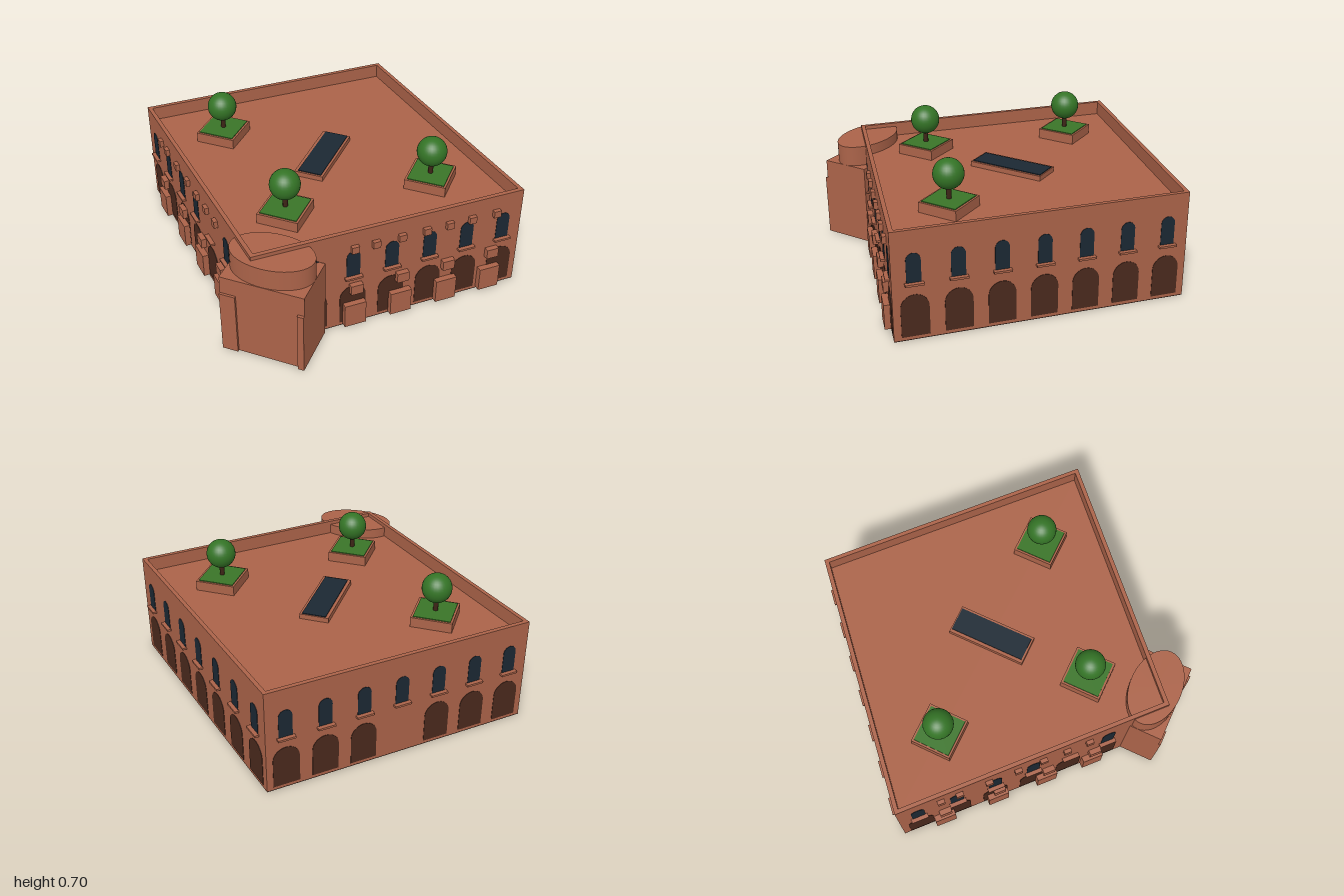
import * as THREE from 'three';

const mat = (name, color) => {
  const m = new THREE.MeshStandardMaterial({ color });
  m.name = name;
  return m;
};

export function createModel() {
  const brick = mat('terracotta', 0xab6349);
  const archDark = mat('dark arch brown', 0x4a291d);
  const glass = mat('dark blue glass', 0x1b2833);
  const grass = mat('planter green', 0x3a7528);
  const leaf = mat('foliage green', 0x347426);
  const bark = mat('bark brown', 0x3d2416);

  const model = new THREE.Group();
  model.name = 'courtyardBuilding';

  const add = (parent, name, geo, material, x = 0, y = 0, z = 0) => {
    const m = new THREE.Mesh(geo, material);
    m.name = name;
    m.position.set(x, y, z);
    parent.add(m);
    return m;
  };
  const box = (parent, name, material, w, h, d, x, y, z) =>
    add(parent, name, new THREE.BoxGeometry(w, h, d), material, x, y, z);

  // Diamond plan as [x, z]
  const left = [-0.995, -0.04], front = [0.02, 0.89], right = [0.995, -0.01], back = [-0.02, -0.94];
  const plan = [left, front, right, back];
  const baseY = 0.004, roofY = 0.46, topY = 0.53;
  const outline = (s) => plan.map(([x, z]) => new THREE.Vector2(x * s, -((z + 0.025) * s - 0.025)));
  const raise = (shape, depth) =>
    new THREE.ExtrudeGeometry(shape, { depth, bevelEnabled: false }).rotateX(-Math.PI / 2);

  // Dark floor slab, main block and parapet
  add(model, 'floorSlab', raise(new THREE.Shape(outline(1)), baseY), archDark);
  add(model, 'mainBlock', raise(new THREE.Shape(outline(1)), roofY - baseY), brick, 0, baseY, 0);
  const rim = new THREE.Shape(outline(1));
  rim.holes.push(new THREE.Path(outline(0.97)));
  add(model, 'parapet', raise(rim, topY - roofY), brick, 0, roofY, 0);

  // Round-headed thin plate, standing on y = 0
  const archPlate = (w, h) => {
    const r = w / 2;
    const s = new THREE.Shape();
    s.moveTo(-r, 0);
    s.lineTo(r, 0);
    s.lineTo(r, h - r);
    s.absarc(0, h - r, r, 0, Math.PI, false);
    s.lineTo(-r, 0);
    return new THREE.ExtrudeGeometry(s, { depth: 0.002, bevelEnabled: false, curveSegments: 10 });
  };
  const archGeo = archPlate(0.128, 0.205);
  const windowGeo = archPlate(0.066, 0.14);

  // One facade: local x runs along the wall, local z points outward
  const facade = (name, a, b, { noArch = -1, noWindow = -1, stalls = [], signY = 0, brackets = [] }) => {
    const g = new THREE.Group();
    g.name = name;
    const dx = b[0] - a[0], dz = b[1] - a[1], len = Math.hypot(dx, dz);
    g.position.set(a[0], 0, a[1]);
    g.rotation.y = Math.atan2(-dz, dx);
    for (let i = 0; i < 7; i++) {
      const x = (len * (i + 0.5)) / 7;
      if (i !== noArch) add(g, 'archway', archGeo, archDark, x, 0.018, 0);
      if (i !== noWindow) add(g, 'window', windowGeo, glass, x, 0.282, 0);
      box(g, 'windowSill', brick, 0.084, 0.01, 0.022, x, 0.277, 0.01);
    }
    for (const t of stalls) {
      box(g, 'groundBox', brick, 0.105, 0.122, 0.03, t * len, 0.07, 0.015);
      box(g, 'lanternBox', brick, 0.06, 0.05, 0.026, t * len + 0.008, signY, 0.013);
    }
    for (const t of brackets) box(g, 'wallBracket', brick, 0.036, 0.035, 0.02, t * len, 0.437, 0.009);
    model.add(g);
  };
  facade('frontLeftFacade', left, front, {
    noWindow: 4, stalls: [0.157, 0.363, 0.554, 0.735], signY: 0.195,
    brackets: [0.157, 0.225, 0.333, 0.44, 0.534, 0.622, 0.706],
  });
  facade('frontRightFacade', front, right, {
    stalls: [0.36, 0.533, 0.71, 0.885], signY: 0.213,
    brackets: [0.36, 0.437, 0.533, 0.626, 0.713, 0.8, 0.896],
  });
  facade('backRightFacade', right, back, {});
  facade('backLeftFacade', back, left, { noArch: 3 });

  // Corner entrance: square block, side pilasters, oval drum
  const entrance = new THREE.Group();
  entrance.name = 'entrance';
  model.add(entrance);
  box(entrance, 'entranceBlock', brick, 0.395, 0.408, 0.245, 0.0795, 0.206, 0.8025);
  box(entrance, 'leftPilaster', brick, 0.075, 0.32, 0.012, -0.0805, 0.162, 0.93);
  box(entrance, 'rightPilaster', brick, 0.03, 0.31, 0.015, 0.262, 0.157, 0.931);
  add(entrance, 'ovalDrum', new THREE.CylinderGeometry(1, 1, 0.11, 48), brick, 0.08, 0.456, 0.8)
    .scale.set(0.197, 1, 0.123);

  // Roof skylight
  box(model, 'skylightFrame', brick, 0.145, 0.025, 0.39, -0.005, roofY + 0.0125, -0.025);
  box(model, 'skylightGlass', glass, 0.118, 0.006, 0.375, -0.003, roofY + 0.026, -0.027);

  // Roof planters with round trees
  for (const [x, z] of [[-0.553, -0.035], [0.547, -0.015], [0.007, 0.48]]) {
    const g = new THREE.Group();
    g.name = 'roofPlanter';
    g.position.set(x, roofY, z);
    box(g, 'planterBox', brick, 0.2, 0.05, 0.2, 0, 0.025, 0);
    box(g, 'planterGrass', grass, 0.18, 0.006, 0.18, 0, 0.051, 0);
    add(g, 'treeTrunk', new THREE.CylinderGeometry(0.012, 0.012, 0.08, 10), bark, 0, 0.09, 0);
    add(g, 'treeCrown', new THREE.SphereGeometry(0.072, 28, 18), leaf, 0, 0.173, 0);
    model.add(g);
  }
  return model;
}
